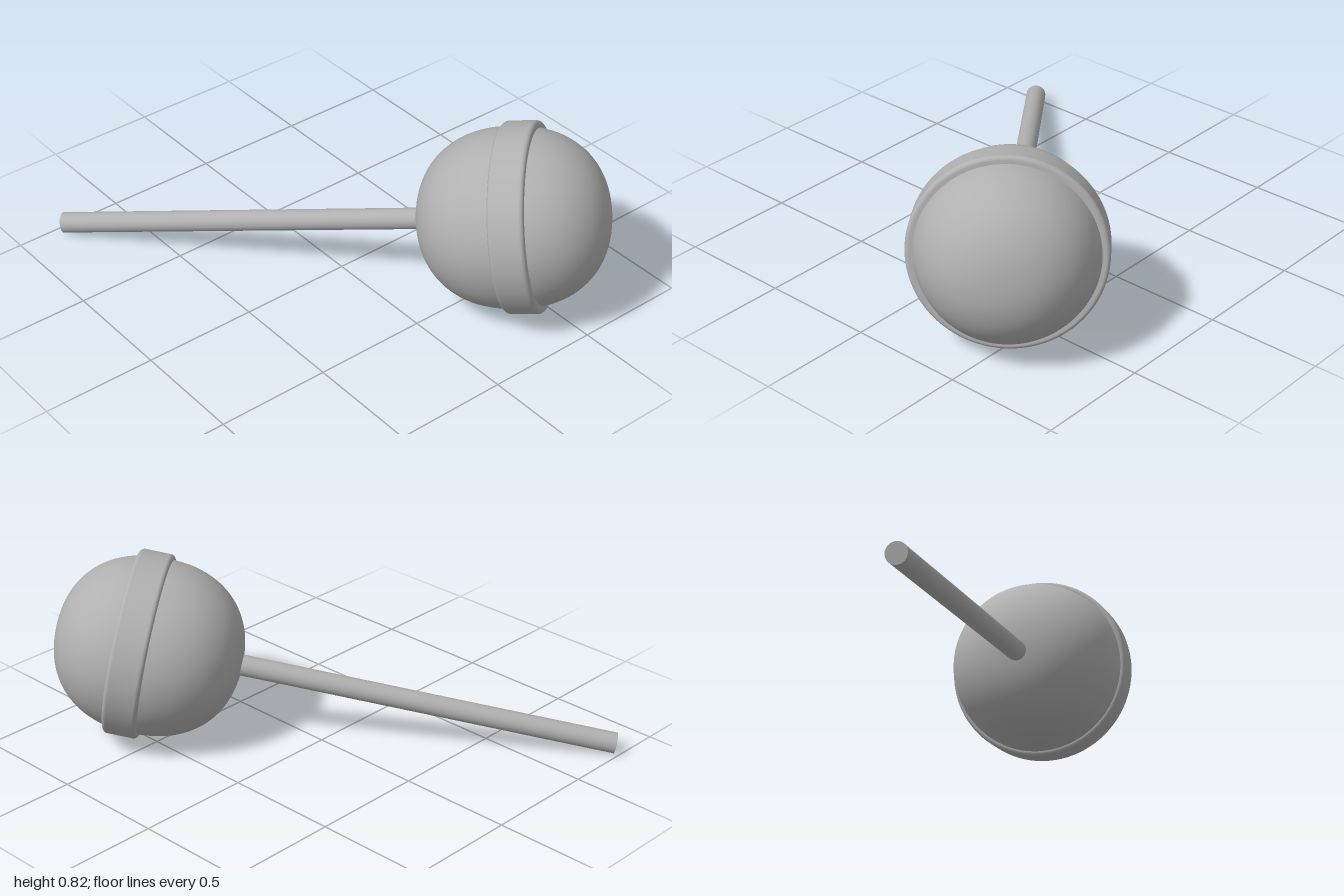
import * as THREE from 'three';

export function createModel() {
  const grey = new THREE.MeshStandardMaterial({ color: 0xb0b0b0 });
  grey.name = 'candy grey';

  // Everything is turned around one axis: local +y runs from stick end to head
  const lollipop = new THREE.Group();
  lollipop.name = 'lollipop';
  const stickEnd = new THREE.Vector3(-0.972, 0.052, 0.79);
  const headCentre = new THREE.Vector3(0.595, 0.411, -0.435);
  const axis = headCentre.clone().sub(stickEnd);
  const stickLength = axis.length();
  lollipop.position.copy(headCentre);
  lollipop.quaternion.setFromUnitVectors(new THREE.Vector3(0, 1, 0), axis.normalize());

  const add = (name, geometry, y = 0) => {
    const mesh = new THREE.Mesh(geometry, grey);
    mesh.name = name;
    mesh.position.y = y;
    lollipop.add(mesh);
  };

  // Candy head: slightly squared ball
  const halfLength = 0.402, radius = 0.379, power = 2 / 2.25;
  const profile = [];
  for (let i = 0; i <= 48; i++) {
    const a = -Math.PI / 2 + (Math.PI * i) / 48;
    const c = Math.max(0, Math.cos(a)), s = Math.sin(a);
    profile.push(new THREE.Vector2(
      i % 48 === 0 ? 0 : radius * Math.pow(c, power),
      halfLength * Math.sign(s) * Math.pow(Math.abs(s), power)));
  }
  add('candyHead', new THREE.LatheGeometry(profile, 96));

  // Raised band with rounded edges
  const outer = 0.4, inner = 0.33, half = 0.074, fillet = 0.018;
  const band = [new THREE.Vector2(inner, -half)];
  for (const side of [-1, 1]) {
    for (let i = 0; i <= 8; i++) {
      const a = (side < 0 ? -Math.PI / 2 : 0) + (Math.PI / 2) * (i / 8);
      band.push(new THREE.Vector2(
        outer - fillet + fillet * Math.cos(a),
        side * (half - fillet) + fillet * Math.sin(a)));
    }
  }
  band.push(new THREE.Vector2(inner, half));
  add('band', new THREE.LatheGeometry(band, 96), 0.045);

  // Stick, running into the head
  add('stick', new THREE.CylinderGeometry(0.045, 0.045, stickLength, 48), -stickLength / 2);

  const model = new THREE.Group();
  model.add(lollipop);
  return model;
}
